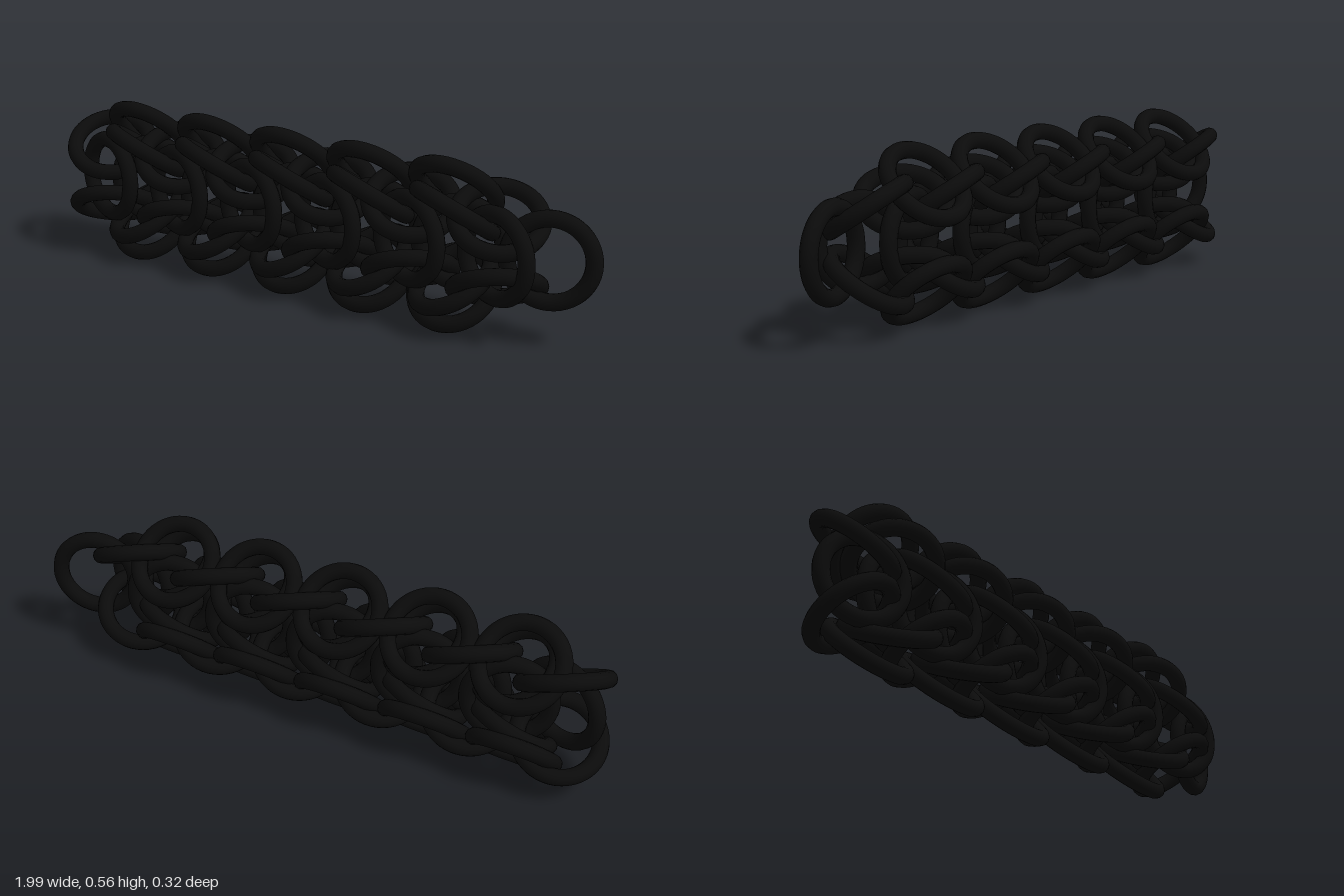
import * as THREE from 'three';

const PITCH = 0.305;   // spacing of rings along the strip
const MID_Y = 0.2825;  // height of the strip's centre line
const MID_Z = 0.0175;  // depth of the weave's centre plane

export function createModel() {
  const model = new THREE.Group();
  model.name = 'chainmailStrip';
  const metal = new THREE.MeshStandardMaterial({ color: 0x0b0b0b });
  const ringGeometry = new THREE.TorusGeometry(0.131, 0.027, 12, 48);
  const axis = new THREE.Vector3(0, 0, 1);

  // A row of equal rings, all facing along the given normal
  function ringRow(name, count, [x, y, z], normal) {
    const row = new THREE.Group();
    row.name = name;
    const facing = new THREE.Vector3(...normal).normalize();
    for (let i = 0; i < count; i++) {
      const ring = new THREE.Mesh(ringGeometry, metal);
      ring.name = 'ring';
      ring.position.set(x + i * PITCH, y, z);
      ring.quaternion.setFromUnitVectors(axis, facing);
      row.add(ring);
    }
    model.add(row);
  }

  // Upright rings down the middle, leaning alternately back and forward
  ringRow('centreRingsBack', 6, [-0.686, MID_Y, MID_Z - 0.029], [0.3, 0, 0.95]);
  ringRow('centreRingsFront', 6, [-0.839, MID_Y, MID_Z + 0.029], [-0.3, 0, 0.95]);

  // Flatter linking rings and outer edge rings, mirrored above and below
  for (const [side, s] of [['upper', 1], ['lower', -1]]) {
    const linkY = MID_Y + s * 0.108;
    ringRow(side + 'LinkRingsBack', 6, [-0.847, linkY, MID_Z], [0.3, s * 0.84, 0.46]);
    ringRow(side + 'LinkRingsFront', 5, [-0.694, linkY, MID_Z], [0.3, s * 0.84, -0.46]);
    ringRow(side + 'EdgeRings', 5, [-0.725, MID_Y + s * 0.163, -0.043], [0, s * 0.707, -0.707]);
  }
  return model;
}
